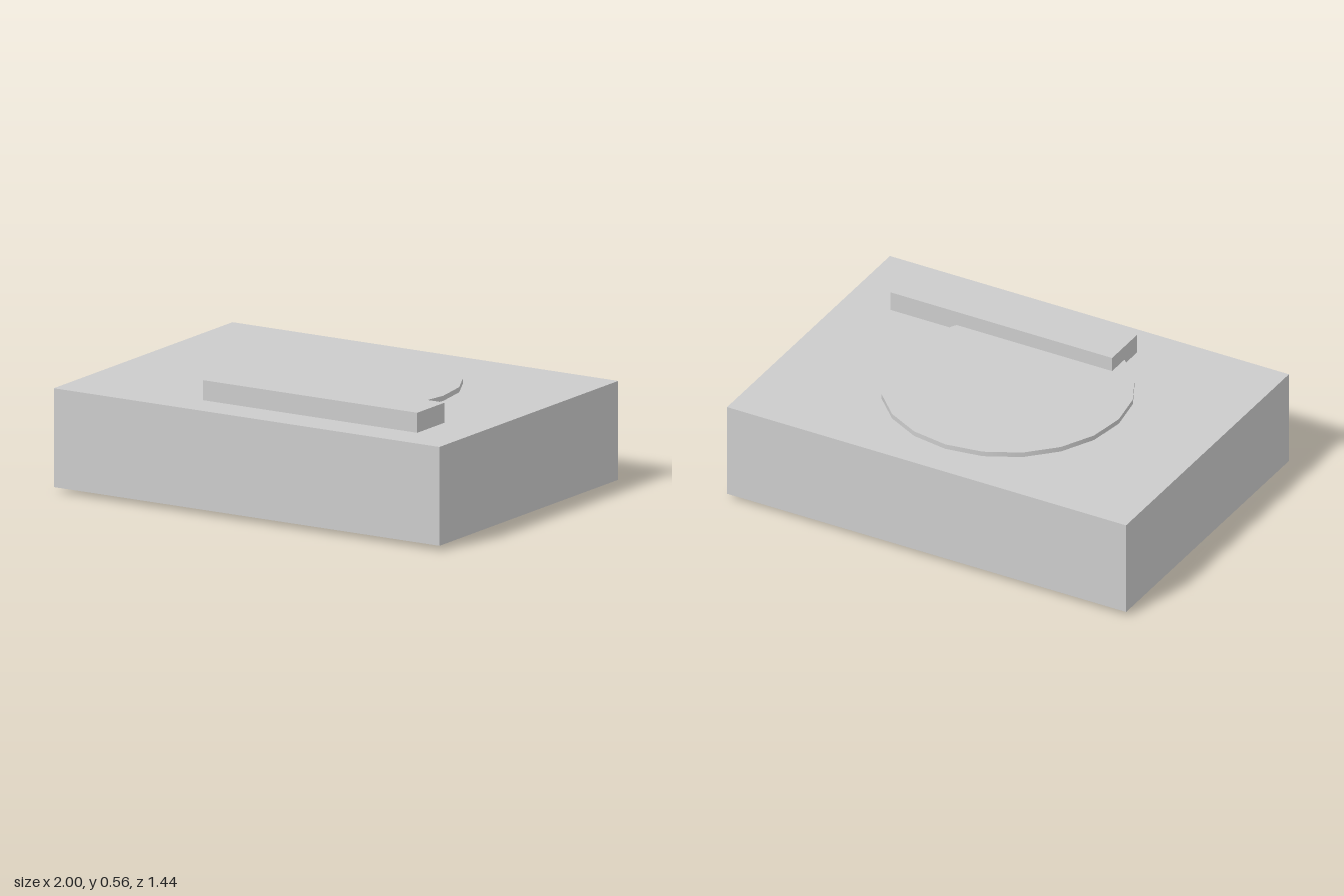
import * as THREE from 'three';

export function createModel() {
  const model = new THREE.Group();
  const material = new THREE.MeshStandardMaterial({ color: 0xcccccc });

  const addPart = (name, geometry, x, y, z) => {
    const mesh = new THREE.Mesh(geometry, material);
    mesh.name = name;
    mesh.position.set(x, y, z);
    model.add(mesh);
  };

  // Main rectangular block
  addPart('body', new THREE.BoxGeometry(2, 0.444, 1.444), 0, 0.244, 0);

  // Round core passing through the block, slightly proud above and below
  addPart('disc', new THREE.CylinderGeometry(0.556, 0.556, 0.489, 20), 0, 0.2445, 0);

  // Raised bar near the front edge, resting on the block and overlapping the disc
  addPart('bar', new THREE.BoxGeometry(1.111, 0.09, 0.222), 0.222, 0.511, 0.444);

  return model;
}
